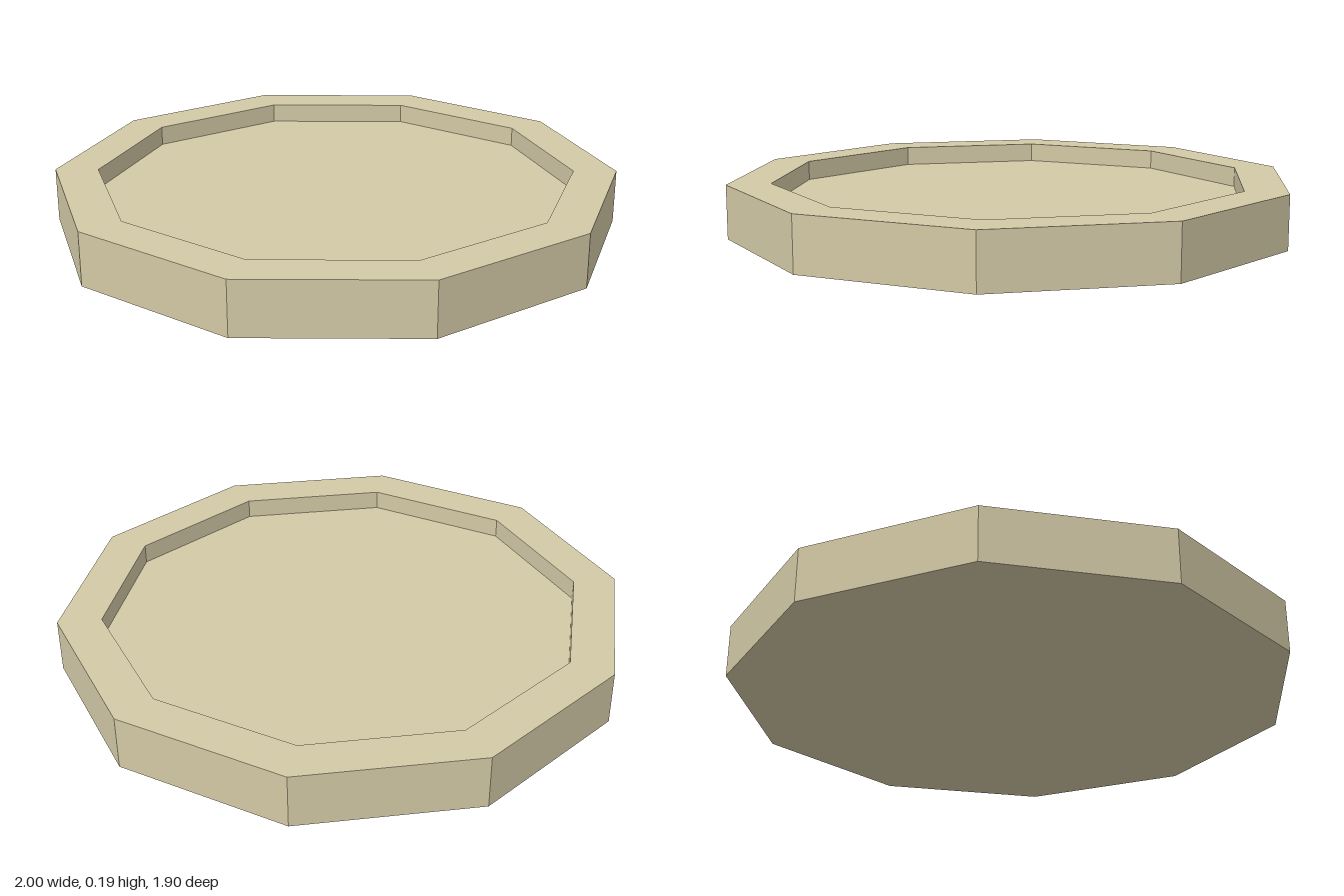
import * as THREE from 'three';

const SIDES = 10, HEIGHT = 0.19, FLOOR = 0.12, OUTER = 1, INNER = 0.847;

// Revolves a profile into a ten-sided, hard-edged solid with corners on the x axis
function facetedLathe(profile) {
  const points = profile.map(([r, y]) => new THREE.Vector2(r, y));
  const geometry = new THREE.LatheGeometry(points, SIDES, Math.PI / 2).toNonIndexed();
  geometry.computeVertexNormals();
  return geometry;
}

export function createModel() {
  const group = new THREE.Group();
  group.name = 'tray';
  const sand = new THREE.MeshStandardMaterial({ color: 0xd3c9a6 });
  sand.name = 'sand';

  // Underside, outer wall, rim and inner wall
  const body = new THREE.Mesh(facetedLathe([
    [0, 0], [OUTER, 0], [OUTER, HEIGHT], [INNER, HEIGHT], [INNER, FLOOR],
  ]), sand);
  body.name = 'rimAndBase';

  // Sunken floor inside the rim
  const floor = new THREE.Mesh(new THREE.CircleGeometry(INNER, SIDES), sand);
  floor.name = 'recessedFloor';
  floor.rotation.x = -Math.PI / 2;
  floor.position.y = FLOOR;

  group.add(body, floor);
  return group;
}
